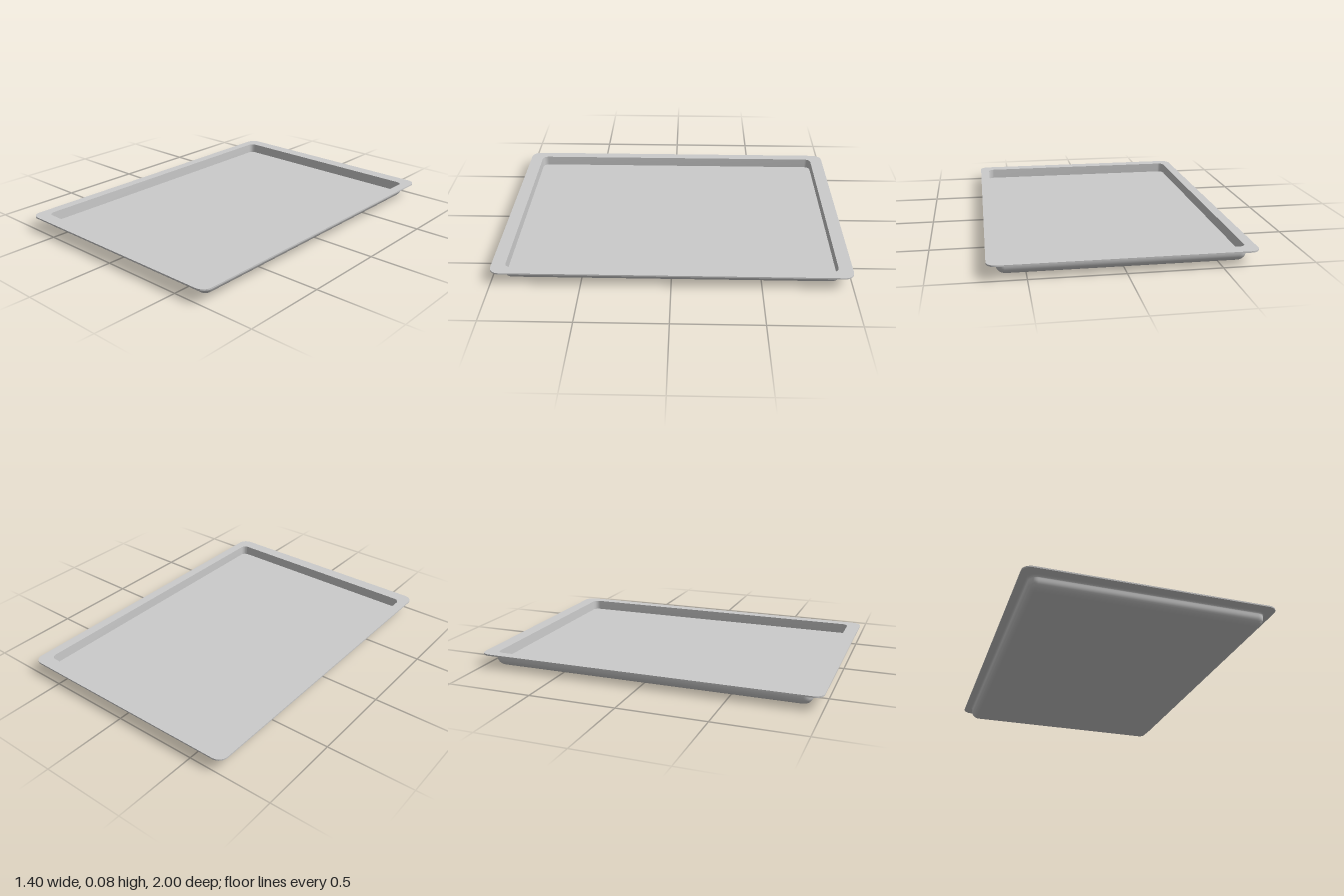
import * as THREE from 'three';
import { toCreasedNormals } from 'three/addons/utils/BufferGeometryUtils.js';

const CORNER_STEPS = 8;

// Rounded rectangle ring in the XZ plane: half width, half length, corner radius, height
function ring([hx, hz, r, y]) {
  const points = [];
  const signs = [[1, 1], [-1, 1], [-1, -1], [1, -1]];
  signs.forEach(([sx, sz], corner) => {
    for (let i = 0; i <= CORNER_STEPS; i++) {
      const a = (corner + i / CORNER_STEPS) * Math.PI / 2;
      points.push([sx * (hx - r) + r * Math.cos(a), y, sz * (hz - r) + r * Math.sin(a)]);
    }
  });
  return points;
}

// Skin a series of rings; a ring of zero size closes the surface at its centre
function loft(name, sections, material) {
  const rings = sections.map(ring);
  const n = rings[0].length;
  const index = [];
  for (let i = 0; i < rings.length - 1; i++) {
    for (let j = 0; j < n; j++) {
      const k = (j + 1) % n;
      const a = i * n + j, b = i * n + k, c = a + n, d = b + n;
      if (sections[i][0] > 0) index.push(a, c, b);
      if (sections[i + 1][0] > 0) index.push(b, c, d);
    }
  }
  const geometry = new THREE.BufferGeometry();
  geometry.setAttribute('position', new THREE.Float32BufferAttribute(rings.flat(2), 3));
  geometry.setIndex(index);
  const mesh = new THREE.Mesh(toCreasedNormals(geometry, 0.6), material);
  mesh.name = name;
  return mesh;
}

export function createModel() {
  const group = new THREE.Group();
  group.name = 'tray';
  const material = new THREE.MeshStandardMaterial({ color: 0xcccccc });

  const lipBottom = [0.7, 1, 0.055, 0.074];
  const lipTop = [0.7, 1, 0.055, 0.082];
  const opening = [0.643, 0.922, 0.035, 0.082];

  // Underside: flat base, rounded lower edge, then a flare into the lip
  const underside = [[0, 0, 0, 0]];
  for (let i = 0; i <= 10; i++) {
    const a = (i / 10) * Math.PI / 2;
    const out = 0.048 * Math.sin(a);
    underside.push([0.605 + out, 0.889 + out, 0.012 + out * 0.7, 0.05 - 0.05 * Math.cos(a)]);
  }
  for (let i = 0; i <= 5; i++) {
    const a = (i / 5) * Math.PI / 2;
    const out = 0.014 * (1 - Math.cos(a));
    underside.push([0.653 + out, 0.937 + out, 0.0456 + out * 0.3, 0.06 + 0.014 * Math.sin(a)]);
  }
  underside.push(lipBottom);

  group.add(
    loft('underside', underside, material),
    // Thin flat lip around the opening
    loft('rim', [lipBottom, lipTop, opening], material),
    // Upright inner walls and flat floor
    loft('basin', [opening, [0.643, 0.922, 0.035, 0.022], [0, 0, 0, 0.022]], material)
  );
  return group;
}
